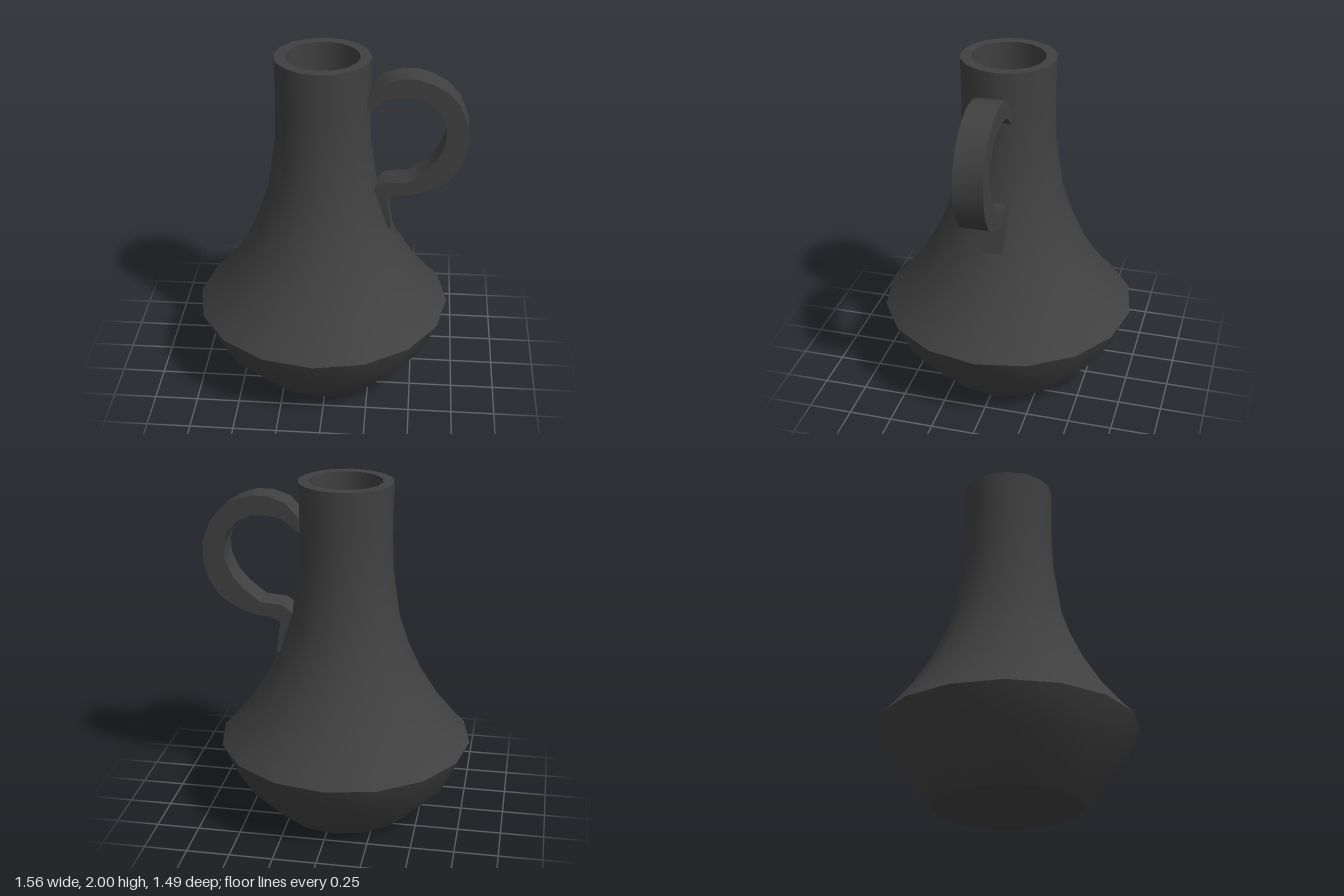
import * as THREE from 'three';
import { toCreasedNormals } from 'three/addons/utils/BufferGeometryUtils.js';

const toPoints = (pairs) => pairs.map(([x, y]) => new THREE.Vector2(x, y));

export function createModel() {
  const group = new THREE.Group();
  group.name = 'jug';
  const clay = new THREE.MeshStandardMaterial({ color: 0x404040 });

  const add = (name, geometry, crease) => {
    const mesh = new THREE.Mesh(toCreasedNormals(geometry, crease), clay);
    mesh.name = name;
    group.add(mesh);
    return mesh;
  };

  // Body: base, shoulder, neck, rim, then the bore of the neck
  const profile = toPoints([
    [0, 0], [0.42, 0], [0.65, 0.245], [0.743, 0.45], [0.69, 0.505],
    [0.565, 0.66], [0.455, 0.84], [0.378, 1.01], [0.316, 1.2],
    [0.272, 1.51], [0.265, 1.75], [0.27, 2],
    [0.208, 2], [0.208, 1.2], [0, 1.2],
  ]);
  const body = add('body', new THREE.LatheGeometry(profile, 16), 0.7);
  body.position.x = -0.04;

  // Handle: looped strap ending in a pointed tail against the shoulder
  const outer = [
    [0.2, 1.785], [0.22, 1.8], [0.295, 1.88], [0.39, 1.912], [0.485, 1.912],
    [0.57, 1.885], [0.65, 1.84], [0.72, 1.765], [0.773, 1.638], [0.773, 1.5],
    [0.743, 1.4], [0.68, 1.305], [0.575, 1.24], [0.46, 1.203], [0.395, 1.2],
    [0.33, 1.172],
  ];
  const tail = [[0.36, 0.97], [0.34, 0.97]];
  const inner = [
    [0.26, 1.23], [0.32, 1.273], [0.445, 1.284], [0.54, 1.357], [0.605, 1.43],
    [0.648, 1.53], [0.652, 1.61], [0.63, 1.69], [0.565, 1.762], [0.485, 1.8],
    [0.39, 1.8], [0.31, 1.785], [0.22, 1.713], [0.2, 1.7],
  ];
  const shape = new THREE.Shape(toPoints([...outer, ...tail, ...inner]));
  const handle = new THREE.ExtrudeGeometry(shape, { depth: 0.164, bevelEnabled: false });
  handle.translate(0, 0, -0.082);

  // Narrow the tail towards its tip
  const p = handle.attributes.position;
  for (let i = 0; i < p.count; i++) {
    if (p.getY(i) < 1.1) p.setZ(i, p.getZ(i) * 0.8);
  }
  add('handle', handle, 0.65);

  return group;
}
